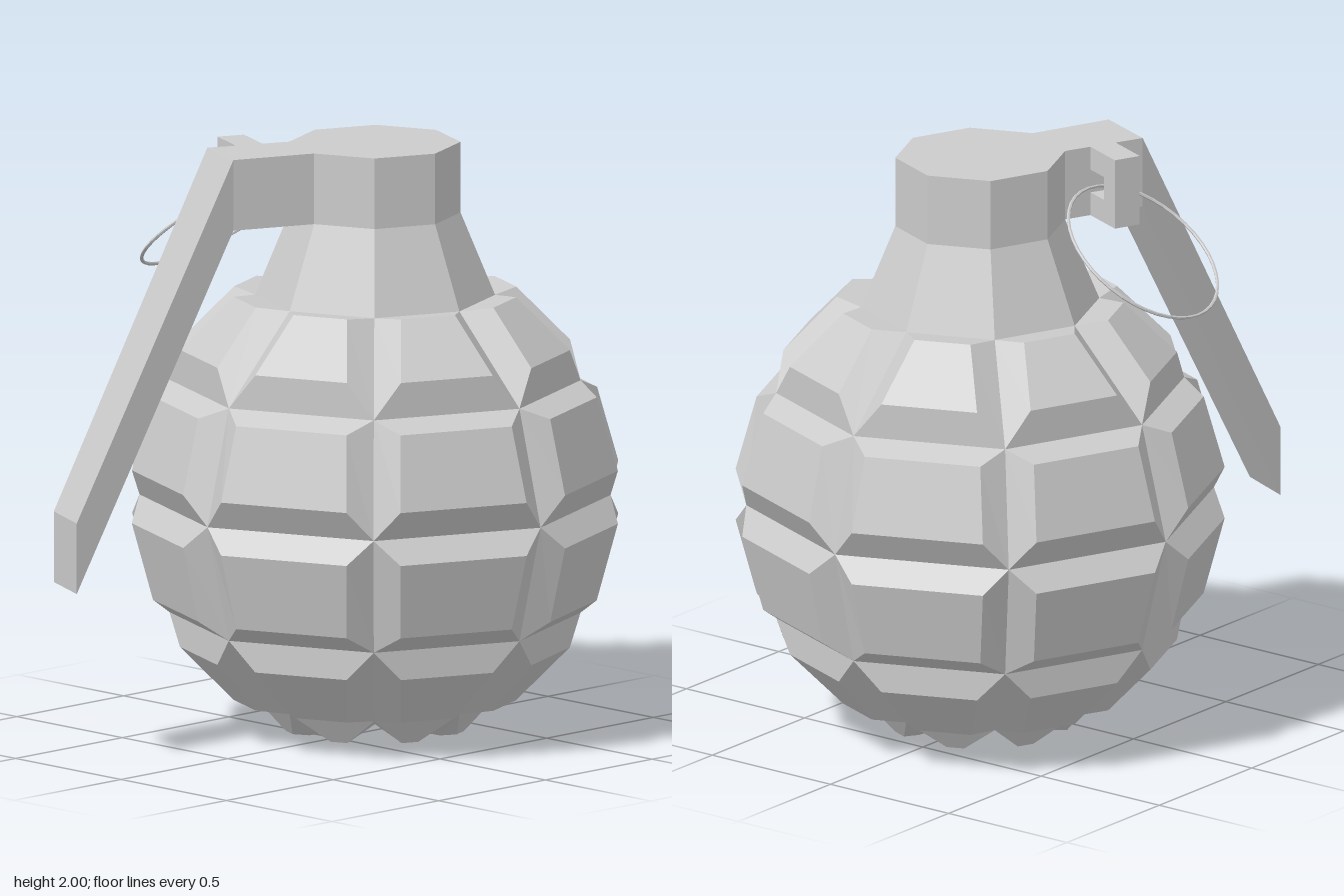
import * as THREE from 'three';

const material = new THREE.MeshStandardMaterial({ color: 0xcccccc, flatShading: true, side: THREE.DoubleSide });
const SIDES = 8;
const STEP = (Math.PI * 2) / SIDES;
const CENTRE_Z = -0.19;

function polar(r, y, angle) {
  return [r * Math.sin(angle), y, r * Math.cos(angle)];
}

// Corners run counter-clockwise seen from outside
function quad(out, a, b, c, d) {
  out.push(...a, ...b, ...c, ...a, ...c, ...d);
}

function facetMesh(name, positions) {
  const geometry = new THREE.BufferGeometry();
  geometry.setAttribute('position', new THREE.Float32BufferAttribute(positions, 3));
  geometry.computeVertexNormals();
  const mesh = new THREE.Mesh(geometry, material);
  mesh.name = name;
  return mesh;
}

// Eight-sided ball: every cell carries a raised panel with bevels down to the grooves
function makeBody() {
  const grooves = [[0, 0.02], [0.4, 0.11], [0.685, 0.4], [0.785, 0.8], [0.685, 1.19], [0.4, 1.48]];
  const panels = [
    [[0.236, 0], [0.31, 0.015]],
    [[0.479, 0.12], [0.656, 0.3]],
    [[0.745, 0.46], [0.815, 0.72]],
    [[0.815, 0.9], [0.745, 1.15]],
    [[0.656, 1.31], [0.479, 1.49]],
  ];
  const halfGroove = 0.09;
  const out = [];
  panels.forEach(([low, high], row) => {
    for (let i = 0; i < SIDES; i++) {
      const from = i * STEP, to = from + STEP;
      const outer = [
        polar(...grooves[row], from), polar(...grooves[row], to),
        polar(...grooves[row + 1], to), polar(...grooves[row + 1], from),
      ];
      const insetLow = Math.asin(halfGroove / low[0]);
      const insetHigh = Math.asin(halfGroove / high[0]);
      const inner = [
        polar(...low, from + insetLow), polar(...low, to - insetLow),
        polar(...high, to - insetHigh), polar(...high, from + insetHigh),
      ];
      for (let k = 0; k < 4; k++) {
        const n = (k + 1) % 4;
        quad(out, outer[k], outer[n], inner[n], inner[k]);
      }
      quad(out, ...inner);
    }
  });
  return facetMesh('body', out);
}

// Flared neck with a straight collar and flat top
function makeNeck() {
  const rings = [[0.4, 1.48], [0.285, 1.76], [0.285, 2], [0, 2]];
  const out = [];
  for (let r = 0; r < rings.length - 1; r++) {
    for (let i = 0; i < SIDES; i++) {
      const from = i * STEP, to = from + STEP;
      quad(out, polar(...rings[r], from), polar(...rings[r], to),
        polar(...rings[r + 1], to), polar(...rings[r + 1], from));
    }
  }
  return facetMesh('neck', out);
}

// Lever: upright rectangles joined from the collar outwards, then down
function makeLever() {
  const stations = [
    { left: [-0.2, 0.01], right: [0, 0.095], bottom: 1.76 },
    { left: [-0.32, 0.28], right: [-0.11, 0.365], bottom: 1.76 },
    { left: [-0.41, 0.91], right: [-0.21, 1.0], bottom: 0.6 },
  ];
  const height = 0.24;
  const sections = stations.map(({ left, right, bottom }) => [
    [left[0], bottom, left[1]], [right[0], bottom, right[1]],
    [right[0], bottom + height, right[1]], [left[0], bottom + height, left[1]],
  ]);
  const out = [];
  for (let s = 0; s < sections.length - 1; s++) {
    for (let k = 0; k < 4; k++) {
      const n = (k + 1) % 4;
      quad(out, sections[s][k], sections[s][n], sections[s + 1][n], sections[s + 1][k]);
    }
  }
  // Reverse the winding so that the sides face outwards, then close the ends
  for (let i = 0; i < out.length; i += 9) {
    const swap = out.slice(i + 3, i + 6);
    for (let j = 0; j < 3; j++) {
      out[i + 3 + j] = out[i + 6 + j];
      out[i + 6 + j] = swap[j];
    }
  }
  quad(out, ...sections[2]);
  quad(out, ...[...sections[0]].reverse());
  return facetMesh('lever', out);
}

// C-shaped bracket on the side of the lever arm that holds the pull ring
function makeBracket() {
  const shape = new THREE.Shape([
    [0, 1.76], [-0.165, 1.76], [-0.165, 2], [0, 2],
    [0, 1.92], [-0.09, 1.92], [-0.09, 1.84], [0, 1.84],
  ].map(([x, y]) => new THREE.Vector2(x, y)));
  const geometry = new THREE.ExtrudeGeometry(shape, { depth: 0.095, bevelEnabled: false });
  const mesh = new THREE.Mesh(geometry, material);
  mesh.name = 'ringBracket';
  mesh.position.set(-0.24, 0, 0.1);
  mesh.rotation.y = -Math.PI / 8;
  return mesh;
}

// Thin tilted pull ring
function makePullRing() {
  const mesh = new THREE.Mesh(new THREE.TorusGeometry(0.29, 0.006, 6, 40), material);
  mesh.name = 'pullRing';
  mesh.position.set(-0.505, 1.7, 0.045);
  mesh.rotation.set(-Math.PI / 2 + 0.06, 0, 0.653, 'ZXY');
  return mesh;
}

export function createModel() {
  const model = new THREE.Group();
  model.name = 'model';
  const shell = new THREE.Group();
  shell.name = 'shell';
  shell.position.z = CENTRE_Z;
  shell.add(makeBody(), makeNeck());
  model.add(shell, makeLever(), makeBracket(), makePullRing());
  return model;
}
